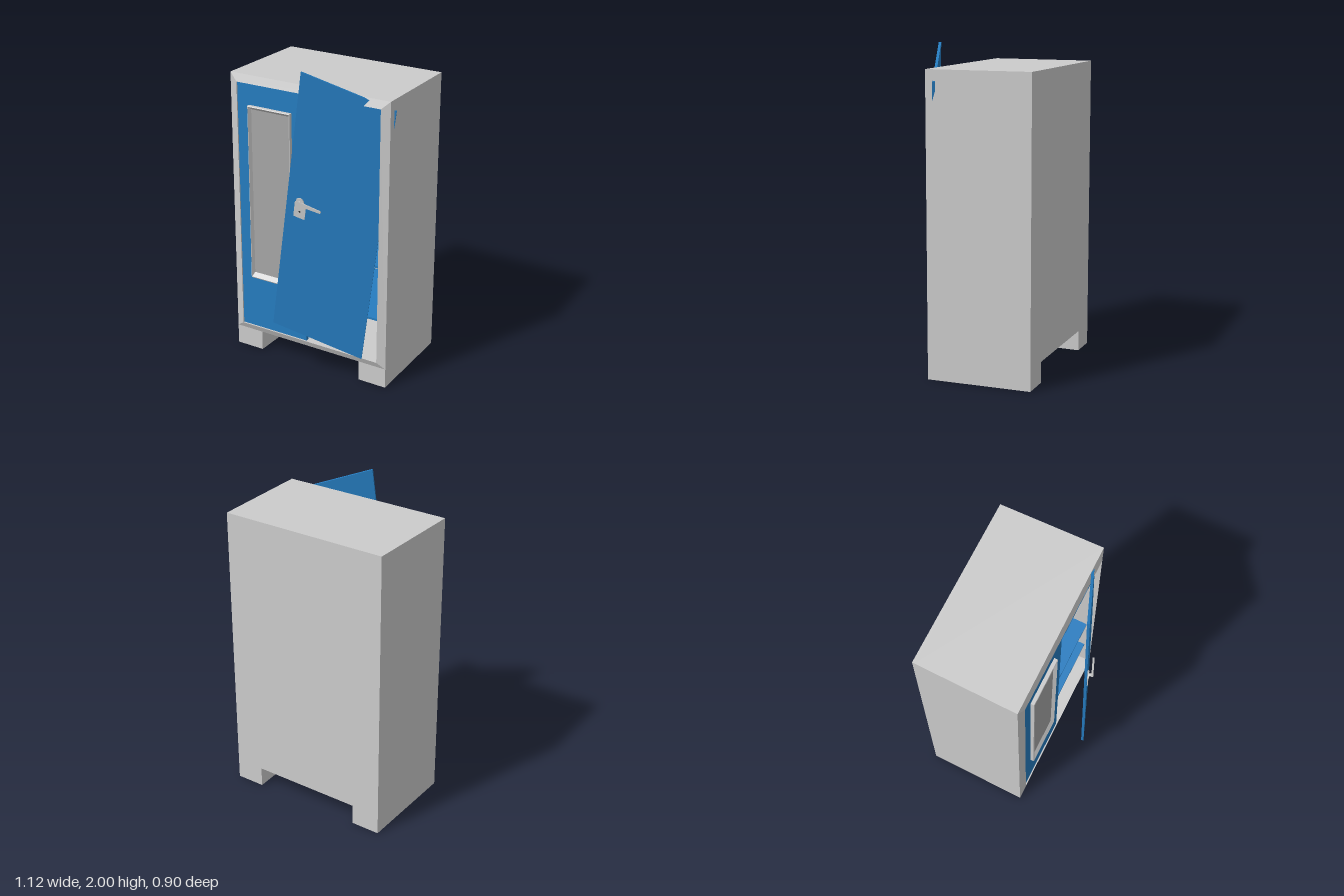
import * as THREE from 'three';

const grey = new THREE.MeshStandardMaterial({ color: 0xcccccc, flatShading: true });
const blue = new THREE.MeshStandardMaterial({ color: 0x257cc0, flatShading: true });
const paneGrey = new THREE.MeshStandardMaterial({ color: 0xa6a6a6, flatShading: true });
const dark = new THREE.MeshStandardMaterial({ color: 0x333333, flatShading: true });

function mesh(name, geometry, material, parent) {
  const m = new THREE.Mesh(geometry, material);
  m.name = name;
  parent.add(m);
  return m;
}

// Box given by its limits on each axis
function box(x0, x1, y0, y1, z0, z1) {
  return new THREE.BoxGeometry(x1 - x0, y1 - y0, z1 - z0)
    .translate((x0 + x1) / 2, (y0 + y1) / 2, (z0 + z1) / 2);
}

// Rectangular moulding: joins successive rectangles [x0, x1, y0, y1, z]
function moulding(rects) {
  const pos = [];
  const loops = rects.map(([x0, x1, y0, y1, z]) =>
    [[x0, y0, z], [x1, y0, z], [x1, y1, z], [x0, y1, z]]);
  for (let k = 0; k + 1 < loops.length; k++) {
    const a = loops[k], b = loops[k + 1];
    for (let i = 0; i < 4; i++) {
      const j = (i + 1) % 4;
      for (const p of [a[i], a[j], b[j], a[i], b[j], b[i]]) pos.push(...p);
    }
  }
  const g = new THREE.BufferGeometry();
  g.setAttribute('position', new THREE.Float32BufferAttribute(pos, 3));
  g.computeVertexNormals();
  return g;
}

// Narrow a geometry slightly towards the back
function taper(g) {
  const p = g.attributes.position;
  for (let i = 0; i < p.count; i++) {
    const k = 1 - 0.023 * (0.2 - p.getZ(i)) / 0.655;
    p.setX(i, -0.005 + (p.getX(i) + 0.005) * k);
  }
  g.computeVertexNormals();
  return g;
}

function createModel() {
  const model = new THREE.Group();
  model.name = 'cabinet';

  // Carcass outline with two feet, hollow inside
  const outline = [[-0.56, 0], [-0.37, 0], [-0.37, 0.13], [0.36, 0.13], [0.36, 0], [0.55, 0],
    [0.55, 1.87], [-0.56, 1.87]].map(([x, y]) => new THREE.Vector2(x, y));
  const back = new THREE.Shape(outline);
  const walls = new THREE.Shape(outline);
  walls.holes.push(new THREE.Path([[-0.505, 0.17], [-0.505, 1.82], [0.495, 1.82], [0.495, 0.17]]
    .map(([x, y]) => new THREE.Vector2(x, y))));
  const extrude = (shape, z0, z1) => taper(
    new THREE.ExtrudeGeometry(shape, { depth: z1 - z0, bevelEnabled: false }).translate(0, 0, z0));
  mesh('carcass', extrude(walls, -0.44, 0.2), grey, model);
  mesh('backPanel', extrude(back, -0.455, -0.44), grey, model);

  // Sloped frame round the opening
  mesh('frontFrame', moulding([
    [-0.56, 0.55, 0.13, 1.87, 0.2],
    [-0.505, 0.495, 0.17, 1.82, 0.218],
    [-0.505, 0.495, 0.17, 1.82, 0.19],
  ]), grey, model);

  // Shelves
  for (const y of [0.44, 0.8, 1.48]) {
    mesh('shelf', box(-0.5, 0.49, y - 0.007, y + 0.007, -0.44, 0.17), blue, model);
  }

  // Closed door with a framed window
  const closedDoor = new THREE.Group();
  closedDoor.name = 'closedDoor';
  model.add(closedDoor);
  mesh('closedDoorPanel', box(-0.505, -0.02, 0.172, 1.818, 0.19, 0.21), blue, closedDoor);
  mesh('windowFrame', moulding([
    [-0.42, -0.115, 0.53, 1.685, 0.208],
    [-0.42, -0.115, 0.53, 1.685, 0.232],
    [-0.415, -0.12, 0.537, 1.68, 0.235],
    [-0.402, -0.133, 0.567, 1.66, 0.213],
  ]), grey, closedDoor);
  mesh('windowPane', box(-0.405, -0.13, 0.56, 1.665, 0.2, 0.215), paneGrey, closedDoor);

  // Broken door: hangs skewed, drawn flat and mapped along its own edges
  const width = new THREE.Vector3(0.52, -0.2, -0.195);
  const height = new THREE.Vector3(0.15, 1.61, -0.105);
  const w = width.length(), h = height.length();
  const u = width.normalize(), v = height.normalize();
  const n = new THREE.Vector3().crossVectors(u, v).normalize();
  const hang = new THREE.Matrix4().makeBasis(u, v, n).setPosition(-0.11, 0.39, 0.45);
  const brokenDoor = new THREE.Group();
  brokenDoor.name = 'brokenDoor';
  model.add(brokenDoor);
  const onDoor = (name, g, material) => mesh(name, g.applyMatrix4(hang), material, brokenDoor);
  const disc = (r, x, y, z0, z1) => new THREE.CylinderGeometry(r, r, z1 - z0, 12)
    .rotateX(Math.PI / 2).translate(x, y, (z0 + z1) / 2);

  onDoor('brokenDoorPanel', box(0, w, 0, h, -0.016, 0), blue);
  onDoor('lockPlate', box(0.052, 0.124, 0.75, 0.842, -0.001, 0.007), grey);
  onDoor('handleRose', disc(0.027, 0.084, 0.847, -0.001, 0.01), grey);
  onDoor('handleSpindle', disc(0.011, 0.084, 0.847, 0.008, 0.034), grey);
  onDoor('keyhole', disc(0.006, 0.088, 0.79, 0.005, 0.008), dark);

  // Lever, tapering to its tip
  const lever = new THREE.Shape([[0.074, 0.835], [0.218, 0.841], [0.222, 0.848], [0.218, 0.855],
    [0.074, 0.86]].map(([x, y]) => new THREE.Vector2(x, y)));
  onDoor('handleLever', new THREE.ExtrudeGeometry(lever, { depth: 0.012, bevelEnabled: false })
    .translate(0, 0, 0.024), grey);

  return model;
}

export { createModel };
